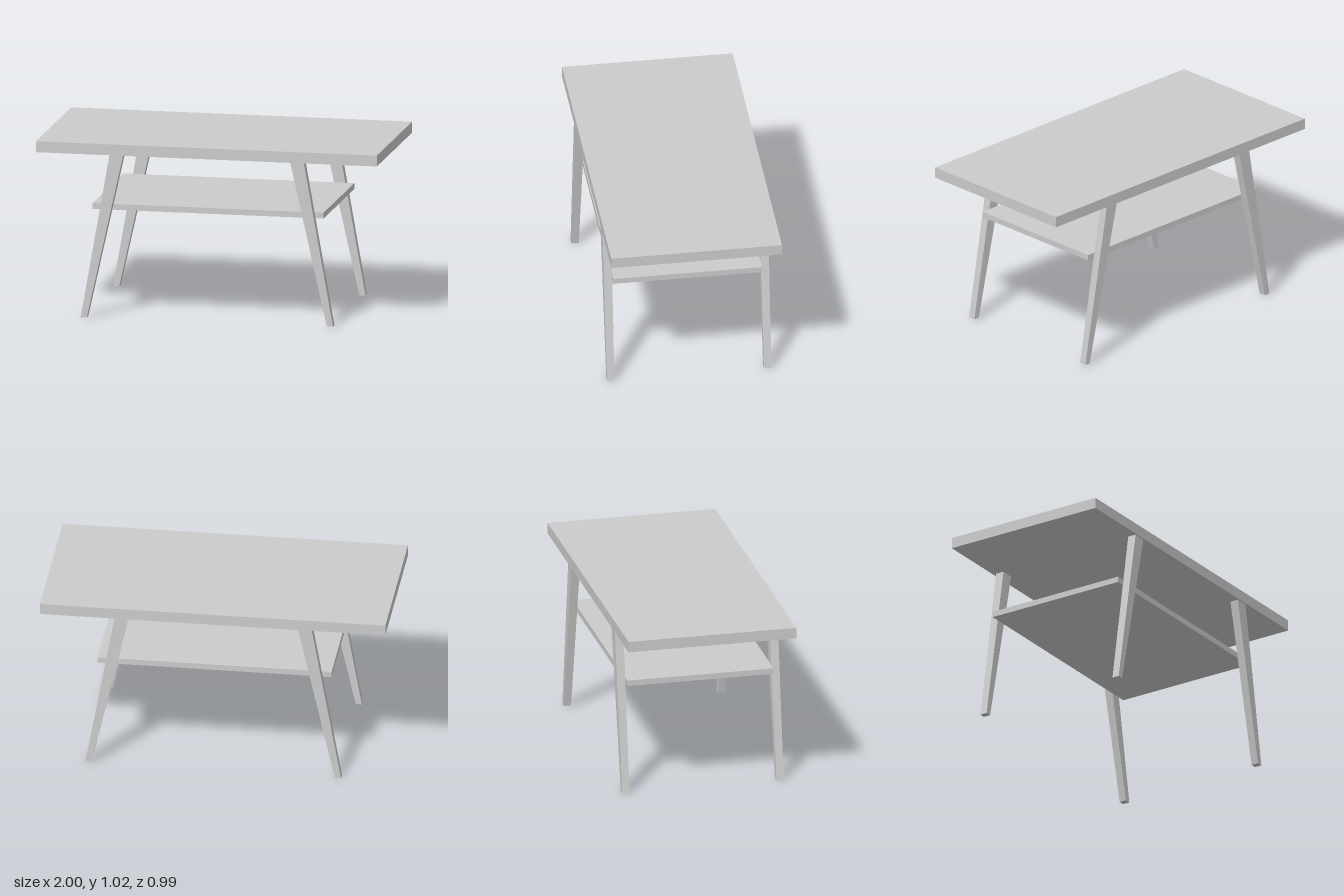
import * as THREE from 'three';

const material = new THREE.MeshStandardMaterial({ color: 0xcccccc, flatShading: true });

function box(name, w, h, d, x, y, z) {
  const mesh = new THREE.Mesh(new THREE.BoxGeometry(w, h, d), material);
  mesh.name = name;
  mesh.position.set(x, y, z);
  return mesh;
}

// Splayed leg: a box whose top and bottom corners move to their own ranges
function leg(name, sideX, footY, top, bottom) {
  const geometry = new THREE.BoxGeometry(1, 1, 1);
  const p = geometry.attributes.position;
  for (let i = 0; i < p.count; i++) {
    const end = p.getY(i) > 0 ? top : bottom;
    p.setXYZ(
      i,
      sideX * end.x + p.getX(i) * end.w,
      p.getY(i) > 0 ? 0.96 : footY,
      end.z + p.getZ(i) * end.d
    );
  }
  geometry.computeVertexNormals();
  const mesh = new THREE.Mesh(geometry, material);
  mesh.name = name;
  return mesh;
}

export function createModel() {
  const table = new THREE.Group();
  table.name = 'table';

  table.add(box('tableTop', 2, 0.064, 0.99, 0, 0.992, 0));

  // Lower shelf, held between the front and back legs
  table.add(box('shelf', 1.355, 0.034, 0.864, -0.002, 0.647, 0.006));

  // Four tapering legs
  for (const [sideName, sideX, footY] of [['Left', 1, 0.008], ['Right', -1, 0]]) {
    for (const [endName, topZ, footZ] of [['front', 0.461, 0.461], ['back', -0.45, -0.449]]) {
      table.add(leg(`${endName}${sideName}Leg`, sideX, footY,
        { x: 0.53, w: 0.08, z: topZ, d: 0.051 },
        { x: 0.722, w: 0.036, z: footZ, d: 0.043 }));
    }
  }
  return table;
}
